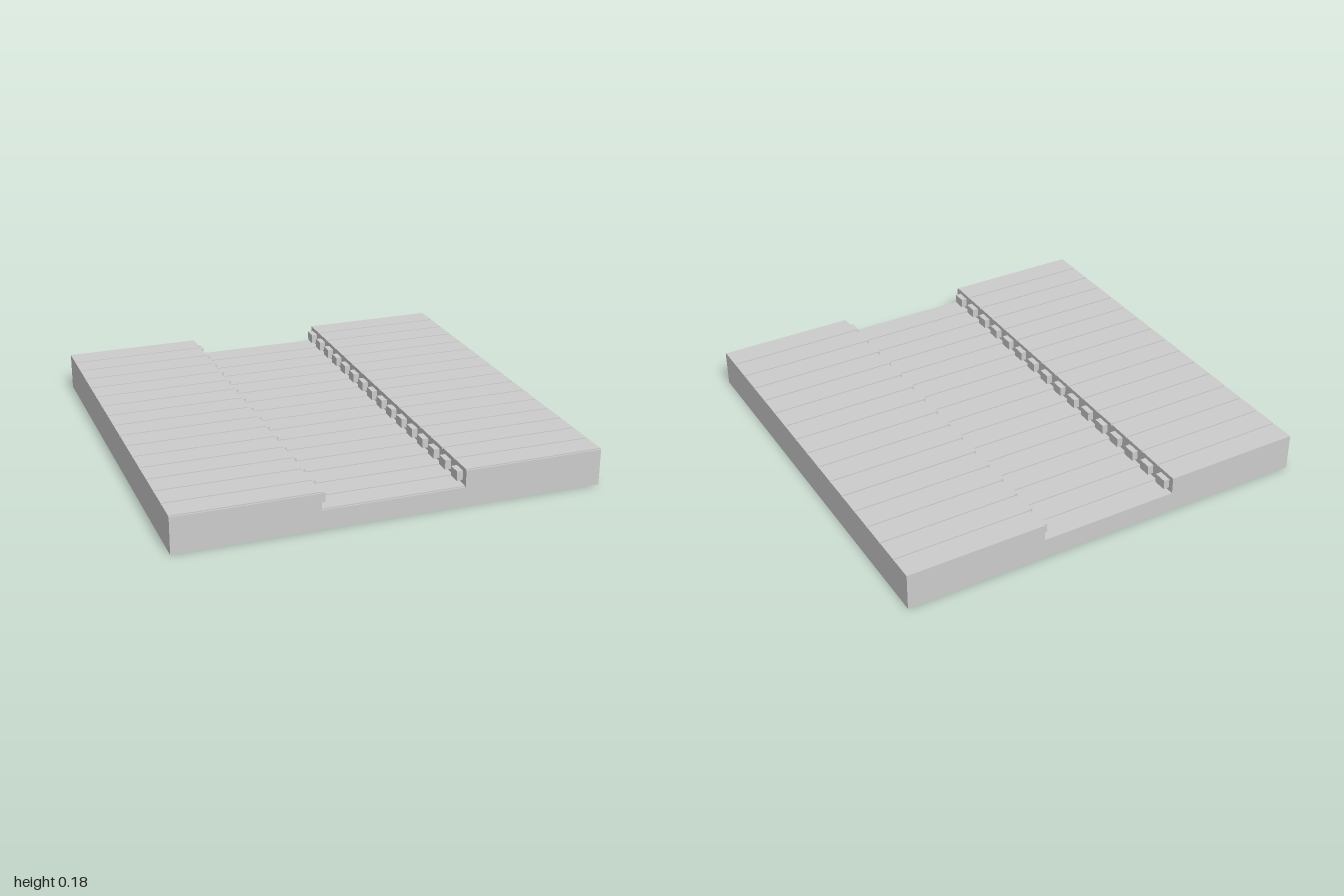
import * as THREE from 'three';

const TOP = 0.177, FLOOR = 0.097, HALF = 0.335; // deck height, channel height, channel half width
const COUNT = 16, PITCH = 2 / COUNT, GAP = 0.007, DEPTH = 0.005;

export function createModel() {
  const model = new THREE.Group();
  model.name = 'channelledDeck';
  const material = new THREE.MeshStandardMaterial({ color: 0xcccccc, flatShading: true });

  const add = (name, geometry, x, y, z, parent = model) => {
    const mesh = new THREE.Mesh(geometry, material);
    mesh.name = name;
    mesh.position.set(x, y, z);
    parent.add(mesh);
  };

  // Slab with a sunken channel, up to the bottom of the grooves
  const top = TOP - DEPTH, floor = FLOOR - DEPTH;
  const profile = new THREE.Shape([
    [-1, 0], [1, 0], [1, top], [HALF, top], [HALF, floor], [-HALF, floor], [-HALF, top], [-1, top],
  ].map(([x, y]) => new THREE.Vector2(x, y)));
  add('slab', new THREE.ExtrudeGeometry(profile, { depth: 2, bevelEnabled: false }), 0, 0, -1);

  // Planks separated by narrow grooves, with a row of studs along each channel wall
  const length = PITCH - GAP;
  const sidePlank = new THREE.BoxGeometry(1 - HALF, DEPTH, length);
  const channelPlank = new THREE.BoxGeometry(2 * HALF, DEPTH, length);
  const stud = new THREE.BoxGeometry(0.028, 0.045, 0.064);
  for (let i = 0; i < COUNT; i++) {
    const row = new THREE.Group();
    row.name = 'plankRow';
    row.position.z = -1 + i * PITCH + length / 2;
    add('channelPlank', channelPlank, 0, FLOOR - DEPTH / 2, 0, row);
    for (const side of [-1, 1]) {
      add('sidePlank', sidePlank, side * (1 + HALF) / 2, TOP - DEPTH / 2, 0, row);
      add('wallStud', stud, side * (HALF - 0.014), 0.135, 0, row);
    }
    model.add(row);
  }
  return model;
}
